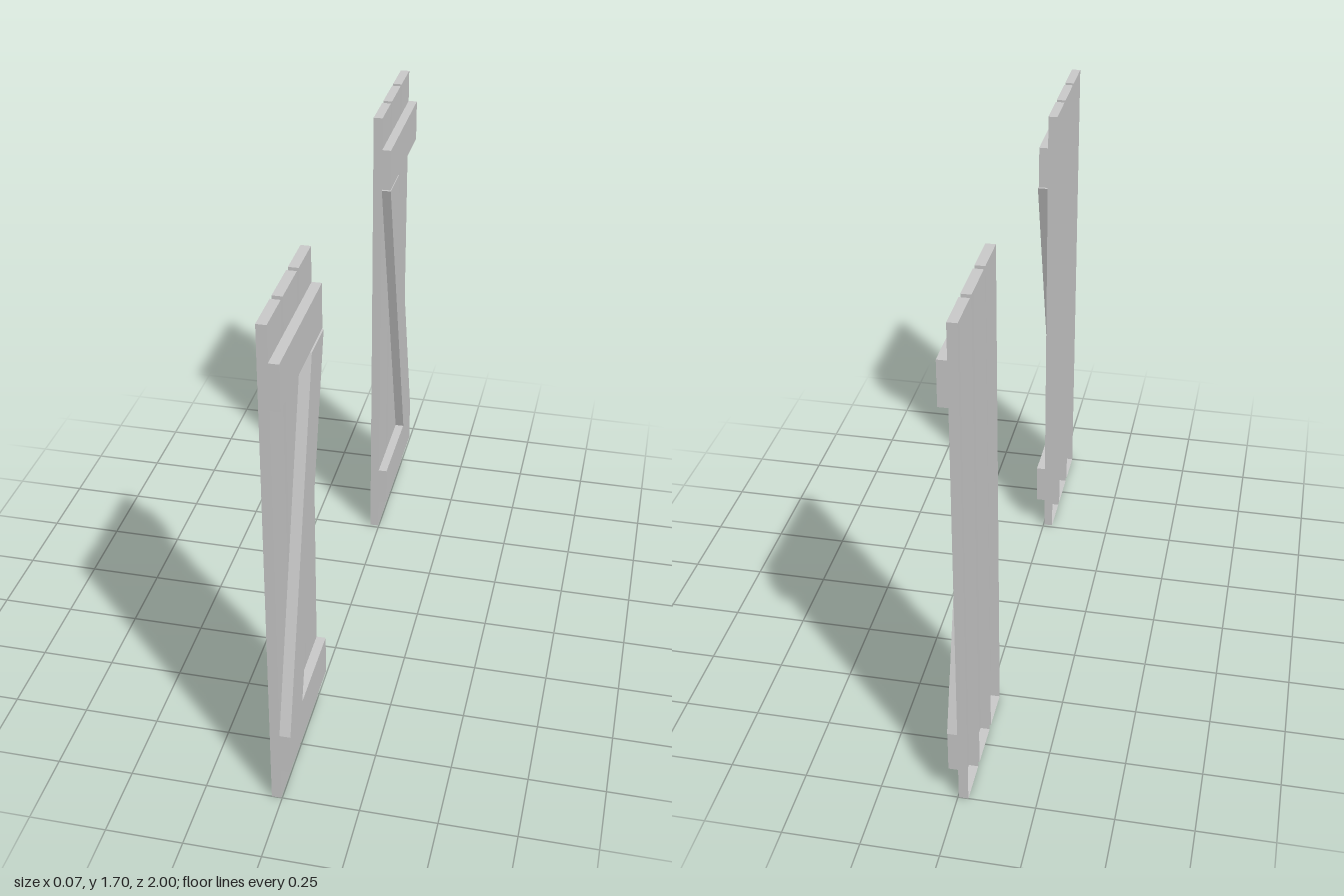
import * as THREE from 'three';

const material = new THREE.MeshStandardMaterial({ color: 0xcccccc, flatShading: true, side: THREE.DoubleSide });

const BACK = -0.034, FACE = -0.003, BATTEN_FRONT = 0.028;

function addMesh(parent, name, geometry) {
  const mesh = new THREE.Mesh(geometry, material);
  mesh.name = name;
  parent.add(mesh);
}

// Box given by its limits along x, y and z
function boxBetween(x0, x1, y0, y1, z0, z1) {
  const geometry = new THREE.BoxGeometry(x1 - x0, y1 - y0, Math.abs(z1 - z0));
  return geometry.translate((x0 + x1) / 2, (y0 + y1) / 2, (z0 + z1) / 2);
}

// Plank: a hollow box with its back (-x) side left open
function plankGeometry(z0, z1) {
  const geometry = boxBetween(BACK, FACE, 0, 1.7, z0, z1);
  const index = Array.from(geometry.index.array);
  index.splice(6, 6);
  geometry.setIndex(index);
  geometry.clearGroups();
  return geometry;
}

// Slanted brace: a parallelogram in the z-y plane, extruded along x
function braceGeometry(side, front) {
  const corners = [[1.0, 0.262], [0.852, 0.262], [0.512, 1.434], [0.659, 1.434]];
  const shape = new THREE.Shape(corners.map(([z, y]) => new THREE.Vector2(side * z, y)));
  const geometry = new THREE.ExtrudeGeometry(shape, { depth: front - FACE, bevelEnabled: false });
  return geometry.rotateY(-Math.PI / 2).translate(front, 0, 0);
}

// One shutter; side is the sign of its z position
function createShutter(side, braceFront) {
  const shutter = new THREE.Group();
  shutter.name = side > 0 ? 'frontShutter' : 'backShutter';

  // Three upright planks with narrow gaps
  [[0.512, 0.657], [0.677, 0.834], [0.854, 1.0]].forEach(([a, b], i) => {
    addMesh(shutter, `plank${i + 1}`, plankGeometry(side * a, side * b));
  });

  // Horizontal battens
  addMesh(shutter, 'lowerBatten', boxBetween(FACE, BATTEN_FRONT, 0.117, 0.262, side * 0.512, side));
  addMesh(shutter, 'upperBatten', boxBetween(FACE, BATTEN_FRONT, 1.438, 1.585, side * 0.512, side));

  // Diagonal brace between the battens
  addMesh(shutter, 'diagonalBrace', braceGeometry(side, braceFront));
  return shutter;
}

export function createModel() {
  const model = new THREE.Group();
  model.name = 'windowShutters';
  model.add(createShutter(1, 0.032), createShutter(-1, 0.029));
  return model;
}
